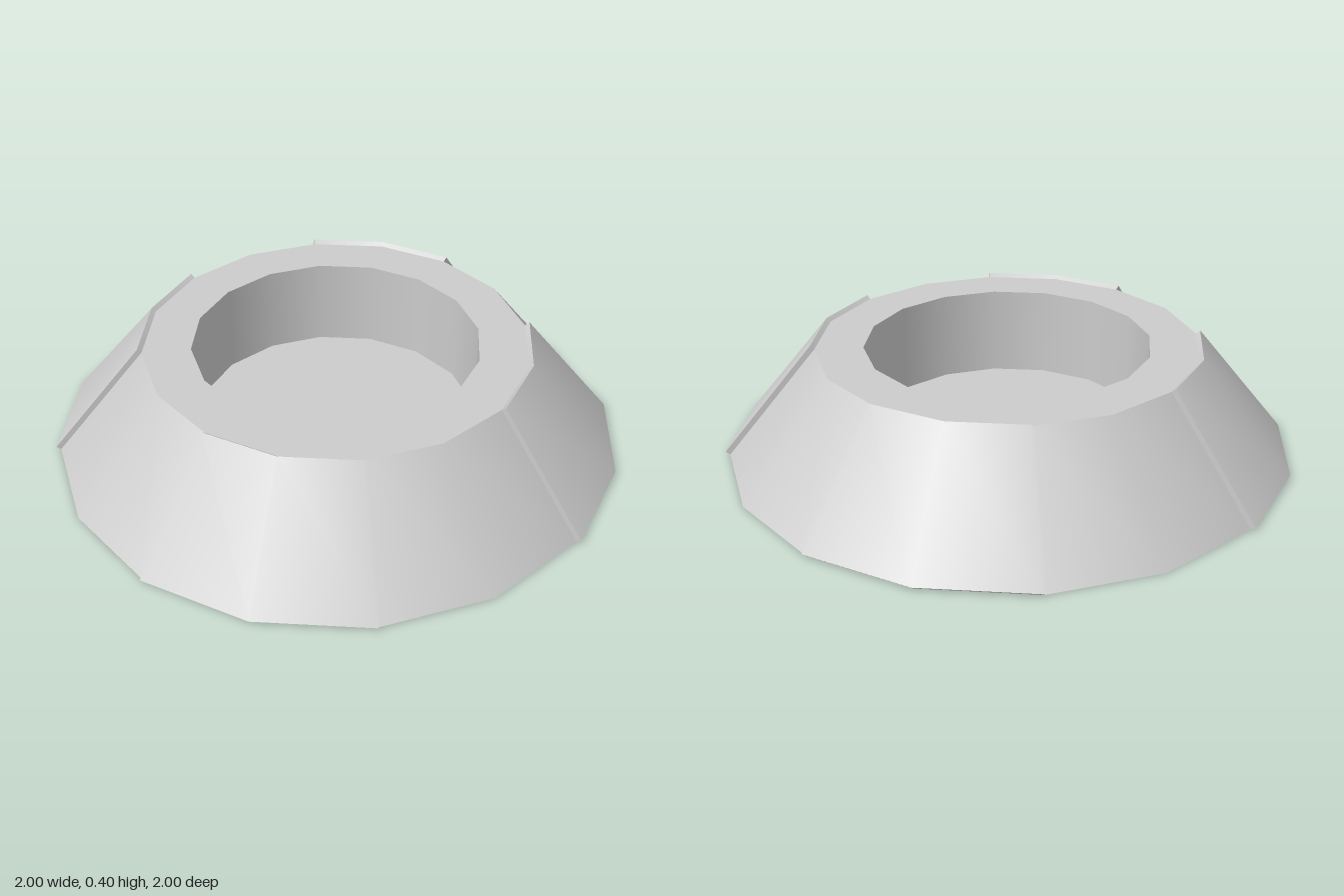
import * as THREE from 'three';
import { mergeGeometries } from 'three/addons/utils/BufferGeometryUtils.js';

const SIDES = 16;
const STEP = (Math.PI * 2) / SIDES;

// Revolves each profile edge separately, so the edges stay sharp and the walls smooth around the axis
function revolve(profile, segments, start) {
  return profile.slice(1).map((end, i) => new THREE.LatheGeometry(
    [new THREE.Vector2(...profile[i]), new THREE.Vector2(...end)], segments, start, segments * STEP));
}

export function createModel() {
  const group = new THREE.Group();
  const material = new THREE.MeshStandardMaterial({ color: 0xcccccc });
  const panelMaterial = new THREE.MeshStandardMaterial({ color: 0xcccccc, side: THREE.DoubleSide });

  // Sloped body with a round recess and a closed underside
  const bodyProfile = [[0, 0], [0.985, 0], [0.667, 0.388], [0.5, 0.388], [0.5, 0.066], [0, 0.066]];
  const body = new THREE.Mesh(mergeGeometries(revolve(bodyProfile, SIDES, 0)), material);
  body.name = 'body';
  group.add(body);

  // Raised panel section: lower lip, sloped face, upper lip
  const panelProfile = [[0.985, 0], [1, 0.012], [0.682, 0.4], [0.667, 0.388]];
  const section = new THREE.Shape(panelProfile.map((p) => new THREE.Vector2(...p)));
  const endCaps = [-STEP, STEP].map((angle) =>
    new THREE.ShapeGeometry(section).rotateY(angle - Math.PI / 2));
  const panelGeometry = mergeGeometries([...revolve(panelProfile, 2, -STEP), ...endCaps]);

  // Four panels, one on each side
  ['frontPanel', 'leftPanel', 'backPanel', 'rightPanel'].forEach((name, i) => {
    const panel = new THREE.Mesh(panelGeometry, panelMaterial);
    panel.name = name;
    panel.rotation.y = (i * Math.PI) / 2;
    group.add(panel);
  });

  return group;
}
